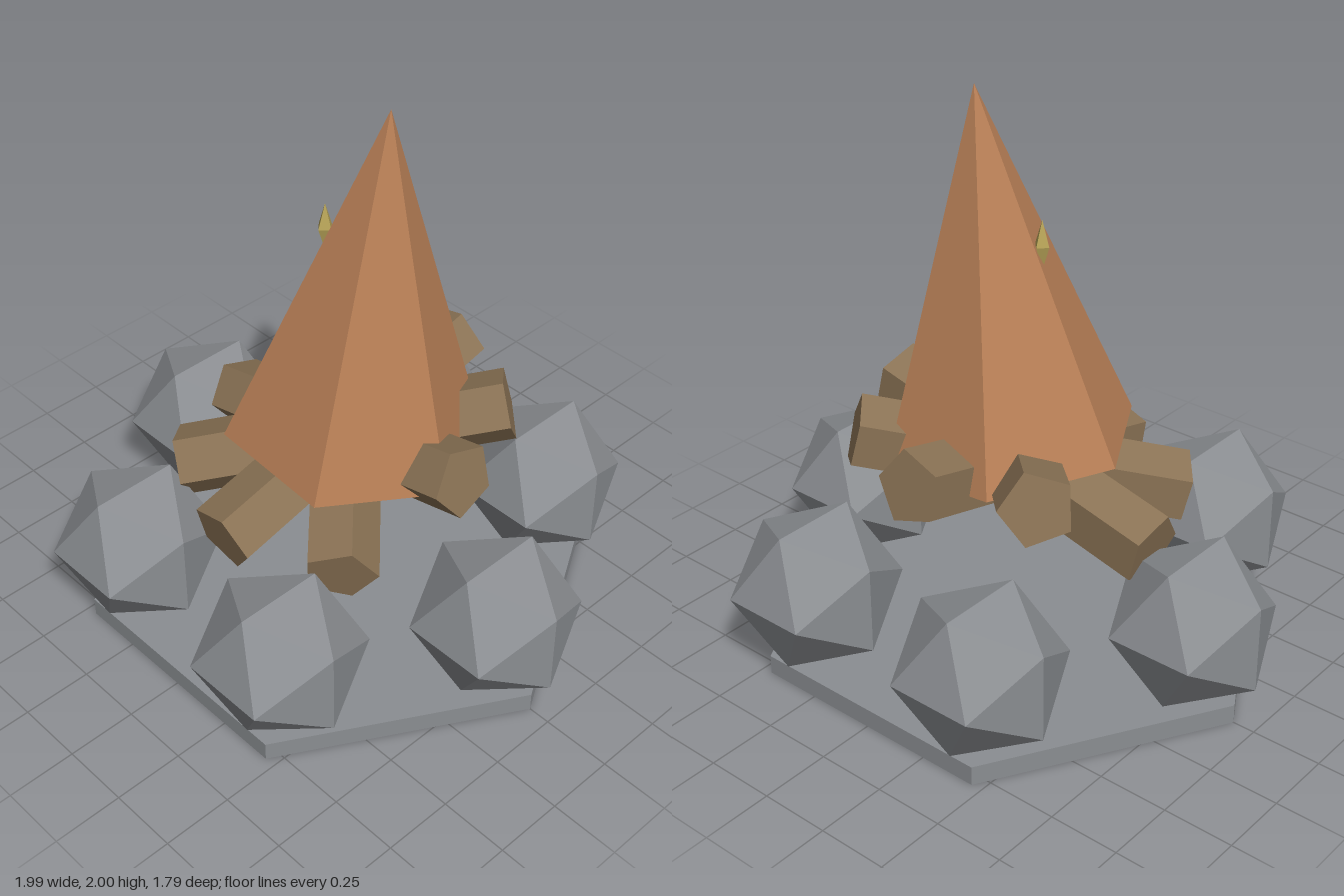
import * as THREE from 'three';

const flat = (name, color) => {
  const m = new THREE.MeshStandardMaterial({ color, flatShading: true });
  m.name = name;
  return m;
};

export function createModel() {
  const group = new THREE.Group();
  const stone = flat('stone grey', 0x8b8e92);
  const wood = flat('wood brown', 0x8b7355);
  const flame = flat('flame copper', 0xb87f56);
  const ember = flat('ember yellow', 0xb8a458);

  const add = (name, geometry, material, x, y, z) => {
    const mesh = new THREE.Mesh(geometry, material);
    mesh.name = name;
    mesh.position.set(x, y, z);
    group.add(mesh);
    return mesh;
  };

  // Hexagonal slab with corners on the x axis
  add('baseSlab', new THREE.CylinderGeometry(0.92, 0.92, 0.07, 6), stone, 0, 0.035, 0).rotation.y = Math.PI / 6;

  // Ring of six boulders, one over each slab corner
  const boulder = new THREE.IcosahedronGeometry(0.3, 0);
  for (let i = 0; i < 6; i++) {
    const a = (i * Math.PI) / 3;
    add('boulder' + (i + 1), boulder, stone, 0.74 * Math.cos(a), 0.325, 0.74 * Math.sin(a)).rotation.y = Math.PI / 2;
  }

  // Four five-sided logs crossing at the centre, each tilted up at one end
  const log = new THREE.CylinderGeometry(0.13, 0.13, 1.164, 5);
  for (let i = 0; i < 4; i++) {
    add('log' + (i + 1), log, wood, 0, 0.672, 0).rotation.set(0, (i * Math.PI) / 4, 0.24 - Math.PI / 2);
  }

  // Leaning six-sided flame
  const cone = new THREE.ConeGeometry(0.45, 1.26, 6);
  cone.rotateY(Math.PI / 6);
  add('flame', cone, flame, 0.0975, 1.372, -0.026).rotation.set(-0.042, 0, -0.084);

  // Embers between the logs
  const gem = new THREE.OctahedronGeometry(0.1, 0);
  [[0.17, 0.65, 0.13], [-0.19, 0.67, 0.08], [0.13, 0.65, -0.18]].forEach(([x, y, z], i) => {
    add('ember' + (i + 1), gem, ember, x, y, z).rotation.set(0.2, 0.5 + i, 0.1);
  });

  // Small spark on the flame's edge
  add('spark', new THREE.OctahedronGeometry(0.03, 0), ember, -0.083, 1.49, 0.005).scale.y = 3;

  return group;
}
